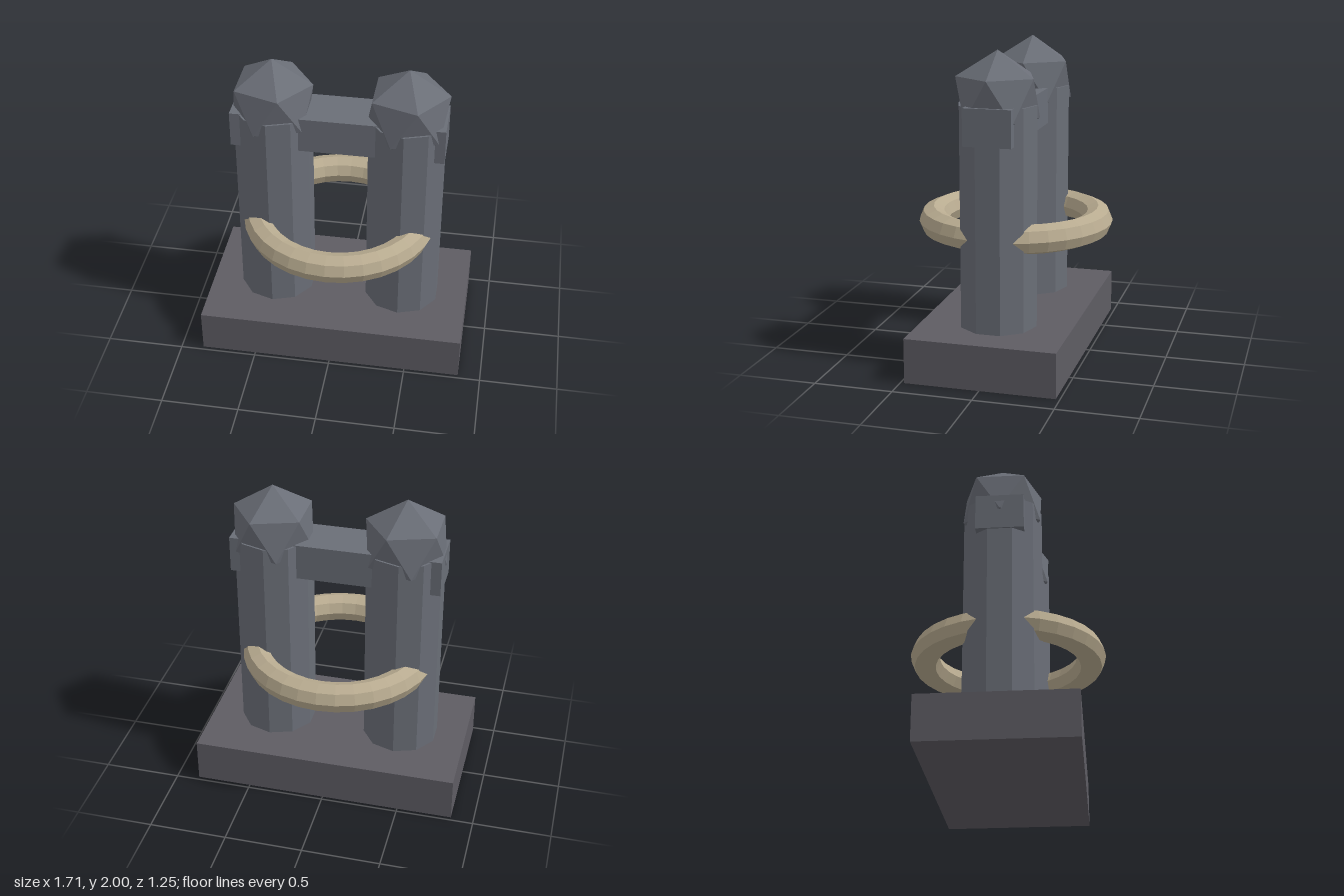
import * as THREE from 'three';

const mat = (color) => new THREE.MeshStandardMaterial({ color, flatShading: true, roughness: 0.9 });

export function createModel() {
  const model = new THREE.Group();
  const stone = mat(0x6a6e77);
  const darkStone = mat(0x5e5c63);
  const bone = mat(0xb8ab90);

  const add = (name, geometry, material, x, y, z) => {
    const mesh = new THREE.Mesh(geometry, material);
    mesh.name = name;
    mesh.position.set(x, y, z);
    model.add(mesh);
    return mesh;
  };

  // Slab the whole piece stands on
  add('base', new THREE.BoxGeometry(1.71, 0.285, 0.95), darkStone, 0, 0.1425, 0);

  // Two ten-sided pillars, each with a faceted cap standing on its point
  const pillarGeo = new THREE.CylinderGeometry(0.247, 0.247, 1.39, 10);
  const capGeo = new THREE.IcosahedronGeometry(0.285, 0);
  capGeo.rotateZ(-Math.atan(2 / (1 + Math.sqrt(5))));
  for (const [side, x] of [['left', 0.42], ['right', -0.42]]) {
    add(side + 'Pillar', pillarGeo, stone, x, 0.285 + 0.695, 0);
    add(side + 'Cap', capGeo, stone, x, 1.715, 0);
  }

  // Crossbar running through both pillars
  add('crossbar', new THREE.BoxGeometry(1.33, 0.23, 0.3), stone, 0, 1.565, 0);

  // Horizontal ring threaded through the pillars
  const ringGeo = new THREE.TorusGeometry(0.531, 0.094, 8, 32);
  ringGeo.rotateX(Math.PI / 2);
  add('ring', ringGeo, bone, 0, 0.86, 0);

  return model;
}
